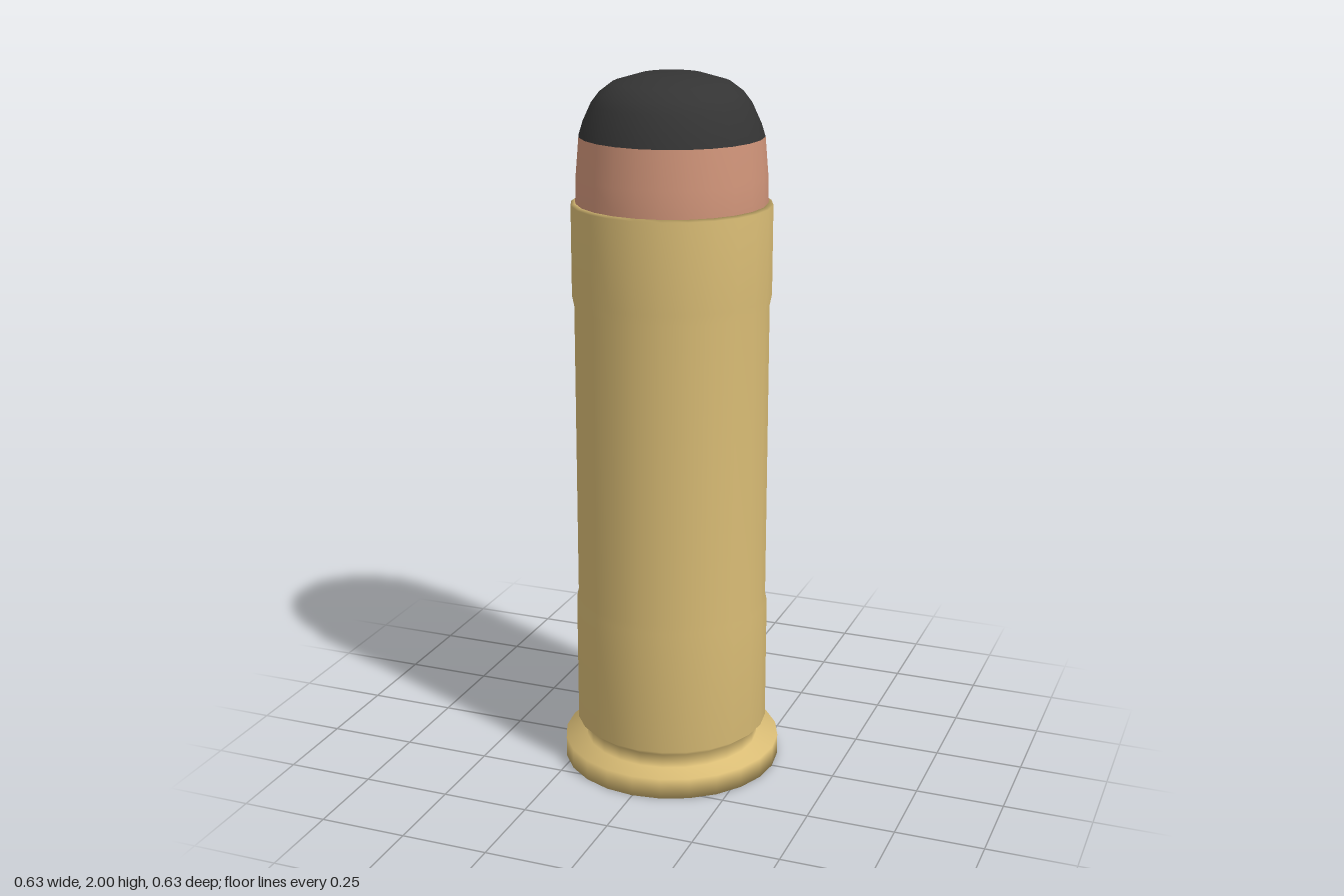
import * as THREE from 'three';

const SIDES = 24;

const brass = new THREE.MeshStandardMaterial({ name: 'brass', color: 0xd9bc75 });
const copper = new THREE.MeshStandardMaterial({ name: 'copper', color: 0xd1957a });
const lead = new THREE.MeshStandardMaterial({ name: 'darkLead', color: 0x343434 });

// Turn a [radius, height] profile, listed from bottom to top
function turned(name, profile, material) {
  const points = profile.map(([r, y]) => new THREE.Vector2(r, y));
  const mesh = new THREE.Mesh(new THREE.LatheGeometry(points, SIDES), material);
  mesh.name = name;
  return mesh;
}

export function createModel() {
  const model = new THREE.Group();
  model.name = 'cartridge';

  // Rim, extractor groove, slightly waisted body and open mouth
  model.add(turned('case', [
    [0, 0], [0.315, 0], [0.315, 0.06], [0.252, 0.065], [0.252, 0.105],
    [0.277, 0.125], [0.277, 0.49], [0.272, 0.51], [0.272, 1.37],
    [0.278, 1.4], [0.278, 1.65], [0.264, 1.655], [0.262, 1.63],
  ], brass));

  // Copper jacket seated in the mouth
  model.add(turned('jacket', [
    [0.262, 1.62], [0.265, 1.66], [0.263, 1.73], [0.254, 1.835],
  ], copper));

  // Rounded nose with a small flat tip
  model.add(turned('nose', [
    [0.254, 1.835], [0.243, 1.87], [0.22, 1.92], [0.197, 1.95],
    [0.16, 1.978], [0.085, 2], [0, 2],
  ], lead));

  return model;
}
